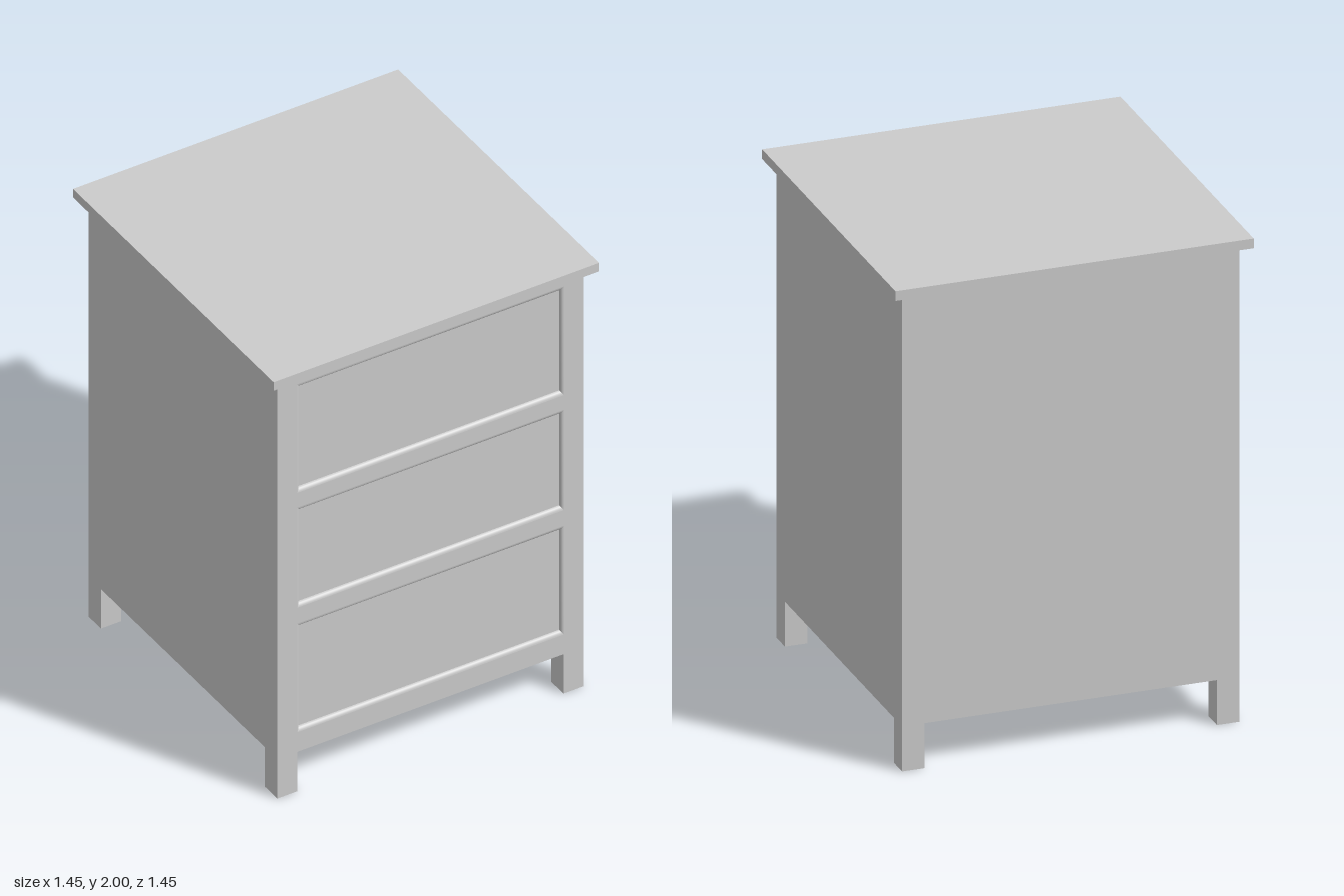
import * as THREE from 'three';

const material = new THREE.MeshStandardMaterial({ color: 0xcccccc });
const HALF = 0.68, FRONT = 0.68, DEPTH = 0.015; // cabinet half width, front plane, recess depth
const BOTTOM = 0.185, TOP = 1.96, LEG = 0.09;
const X_IN = 0.58, EDGE_X = 0.012, EDGE_Y = 0.018; // drawer panel half width, moulding widths
const drawers = [[0.295, 0.77], [0.88, 1.315], [1.42, 1.895]];

function add(group, name, geometry, x = 0, y = 0, z = 0) {
  const mesh = new THREE.Mesh(geometry, material);
  mesh.name = name;
  mesh.position.set(x, y, z);
  group.add(mesh);
}

// Corners of a drawer opening, grown by k (0..1) of the moulding width, counter-clockwise
function corners([y0, y1], k) {
  const x = X_IN + EDGE_X * k, e = EDGE_Y * k;
  return [[-x, y0 - e], [x, y0 - e], [x, y1 + e], [-x, y1 + e]];
}

// Rounded moulding running from the front plane down to the panel, one strip per side
function mouldingGeometry(drawer, steps = 5) {
  const points = [], index = [];
  for (let side = 0; side < 4; side++) {
    const base = points.length / 3;
    for (let i = 0; i <= steps; i++) {
      const a = (i / steps) * Math.PI / 2;
      const loop = corners(drawer, 1 - Math.sin(a));
      const z = FRONT - DEPTH * (1 - Math.cos(a));
      points.push(...loop[side], z, ...loop[(side + 1) % 4], z);
      if (i < steps) {
        const p = base + i * 2;
        index.push(p, p + 1, p + 3, p, p + 3, p + 2);
      }
    }
  }
  const geometry = new THREE.BufferGeometry();
  geometry.setAttribute('position', new THREE.Float32BufferAttribute(points, 3));
  geometry.setIndex(index);
  geometry.computeVertexNormals();
  return geometry;
}

export function createModel() {
  const group = new THREE.Group();
  group.name = 'drawerCabinet';
  const height = TOP - BOTTOM, back = FRONT - DEPTH;

  // Overhanging top board
  add(group, 'topBoard', new THREE.BoxGeometry(1.445, 2 - TOP, 1.445), 0, (2 + TOP) / 2, 0);

  // Carcass; its front face also serves as the recessed drawer panels
  add(group, 'carcass', new THREE.BoxGeometry(HALF * 2, height, HALF + back),
    0, BOTTOM + height / 2, (back - HALF) / 2);

  // Front frame with an opening for each drawer
  const frame = new THREE.Shape([[-HALF, BOTTOM], [HALF, BOTTOM], [HALF, TOP], [-HALF, TOP]]
    .map(([x, y]) => new THREE.Vector2(x, y)));
  for (const drawer of drawers) {
    frame.holes.push(new THREE.Path(corners(drawer, 1).reverse()
      .map(([x, y]) => new THREE.Vector2(x, y))));
  }
  add(group, 'frontFrame',
    new THREE.ExtrudeGeometry(frame, { depth: DEPTH, bevelEnabled: false }), 0, 0, back);

  // Mouldings around the drawer panels
  drawers.forEach((drawer, i) => add(group, `drawerMoulding${i + 1}`, mouldingGeometry(drawer)));

  // Square legs, flush with the cabinet corners
  for (const sx of [-1, 1]) {
    for (const sz of [-1, 1]) {
      add(group, `${sz > 0 ? 'front' : 'back'}${sx > 0 ? 'Left' : 'Right'}Leg`,
        new THREE.BoxGeometry(LEG, BOTTOM, LEG),
        sx * (HALF - LEG / 2), BOTTOM / 2, sz * (HALF - LEG / 2));
    }
  }
  return group;
}
